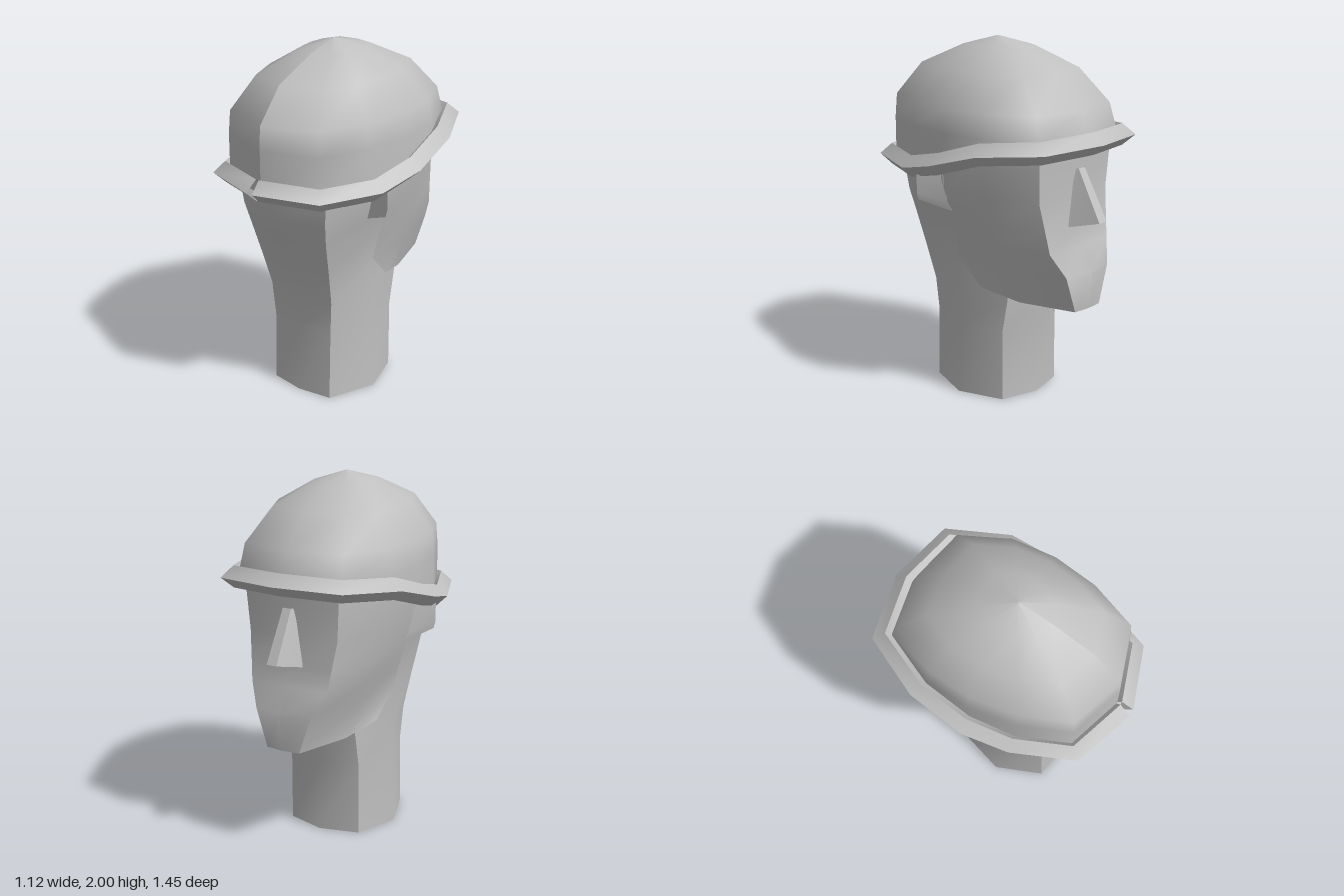
import * as THREE from 'three';
import { toCreasedNormals } from 'three/addons/utils/BufferGeometryUtils.js';

// Skin a grid of points: rows are equal-length lists of [x, y, z], from bottom to top.
function skin(rows, crease) {
  const n = rows[0].length, index = [];
  for (let r = 0; r < rows.length - 1; r++) {
    for (let i = 0; i < n - 1; i++) {
      const a = r * n + i, b = a + n;
      index.push(a, a + 1, b + 1, a, b + 1, b);
    }
  }
  const g = new THREE.BufferGeometry();
  g.setAttribute('position', new THREE.Float32BufferAttribute(rows.flat(2), 3));
  g.setIndex(index);
  if (crease) return toCreasedNormals(g, crease);
  g.computeVertexNormals();
  return g;
}

const flip = ([x, y, z]) => [-x, y, z];
// Half ring (back centre to front centre on +x) completed round the other side.
const around = half => [...half, ...half.slice(0, -1).reverse().map(flip)];
// Half ring (side to front centre) mirrored into an open front strip.
const across = half => [...half, ...half.slice(0, -1).reverse().map(flip)];

export function createModel() {
  const group = new THREE.Group();
  const grey = new THREE.MeshStandardMaterial({ color: 0xbfbfbf, side: THREE.DoubleSide });
  grey.name = 'plain grey';
  const add = (name, geometry) => {
    const m = new THREE.Mesh(geometry, grey);
    m.name = name;
    group.add(m);
  };

  // Neck and back of the head: y, back z, corner x, corner z, side x, front z
  const neck = [
    [0, 0.35, 0.2, 0.32, 0.305, -0.27],
    [0.4, 0.34, 0.2, 0.31, 0.285, -0.27],
    [0.6, 0.35, 0.215, 0.32, 0.295, -0.31],
    [0.8, 0.41, 0.24, 0.37, 0.29, -0.31],
    [1.0, 0.48, 0.265, 0.425, 0.34, -0.31],
    [1.12, 0.54, 0.285, 0.455, 0.38, -0.31],
    [1.26, 0.57, 0.3, 0.47, 0.41, -0.31],
    [1.42, 0.58, 0.3, 0.5, 0.43, -0.31],
  ];
  add('neck', skin(neck.map(([y, zb, xc, zc, xs, zf]) => around([
    [0, y, zb], [xc, y, zc], [xs, y, 0.05], [0.22, y, zf + 0.06], [0, y, zf],
  ])), 0.7));

  // Face: y, side x, cheek x, corner x, corner z, front z
  const face = [
    [0.8, 0.292, 0.265, 0.17, -0.625, -0.66],
    [0.93, 0.322, 0.31, 0.235, -0.565, -0.575],
    [1.05, 0.358, 0.34, 0.25, -0.545, -0.57],
    [1.2, 0.398, 0.372, 0.27, -0.52, -0.557],
    [1.42, 0.43, 0.41, 0.285, -0.53, -0.57],
    [1.5, 0.43, 0.41, 0.285, -0.53, -0.57],
  ];
  const throat = [0, 0.6, -0.29];
  const faceRows = [
    Array(7).fill(throat),
    across([[0.27, 0.65, -0.1], [0.2, 0.6, -0.32], [0.1, 0.595, -0.63], [0, 0.595, -0.64]]),
    ...face.map(([y, xs, xk, xc, zc, zf]) => across([
      [xs, y, 0.05], [xk, y, -0.25], [xc, y, zc], [0, y, zf],
    ])),
  ];
  add('face', skin(faceRows, 0.7));

  // Nose: a wedge with a narrow ridge
  add('nose', skin([
    [[0, 1.05, -0.56], [0, 1.05, -0.56], [0, 1.05, -0.56], [0, 1.05, -0.56]],
    [[0.085, 1.05, -0.56], [0.03, 1.09, -0.725], [-0.03, 1.09, -0.725], [-0.085, 1.05, -0.56]],
    [[0.035, 1.36, -0.555], [0.025, 1.36, -0.575], [-0.025, 1.36, -0.575], [-0.035, 1.36, -0.555]],
  ], 0.3));

  // Ears: plates that flare away from the head towards the back
  for (const s of [1, -1]) {
    const ear = [
      [[0.35, 1.1, 0.18], [0.47, 1.14, 0.18], [0.36, 1.08, 0.02]],
      [[0.37, 1.18, 0.18], [0.48, 1.18, 0.18], [0.385, 1.13, 0.04]],
      [[0.39, 1.31, 0.18], [0.48, 1.31, 0.18], [0.4, 1.29, 0.05]],
    ];
    ear.unshift(Array(3).fill(ear[0][0]));
    const rows = s > 0 ? ear : ear.map(r => r.map(flip).reverse());
    add(s > 0 ? 'leftEar' : 'rightEar', skin(rows, 0.3));
  }

  // Cap dome: plan outline scaled to each height, with a seam down the back
  const plan = [[0, 0.63], [0.31, 0.53], [0.42, 0.26], [0.46, 0], [0.44, -0.27], [0.31, -0.56], [0, -0.625]];
  const brimY = [1.32, 1.315, 1.31, 1.37, 1.46, 1.49, 1.5];
  const dome = [ // y, width scale, back scale, front scale, z shift
    [1.66, 0.97, 0.99, 0.915, 0],
    [1.84, 0.72, 0.725, 0.67, 0.015],
    [1.95, 0.34, 0.31, 0.32, 0.025],
    [2, 0, 0, 0, 0.03],
  ];
  add('capDome', skin([
    around(plan.map(([x, z], i) => [x, brimY[i] - 0.03, z])),
    around(plan.map(([x, z], i) => [x, 1.53, z * (z < 0 ? 0.985 : 1)])),
    ...dome.map(([y, sx, sb, sf, dz]) => around(plan.map(([x, z]) => [x * sx, y, z * (z > 0 ? sb : sf) + dz]))),
  ]));

  // Rolled brim: a diamond section following the cap, notched at the back
  const rim = [[0.02, 0.72], [0.37, 0.6], [0.51, 0.26], [0.56, 0], [0.53, -0.31], [0.37, -0.64], [0, -0.72]];
  const layer = (t, dy) => around(rim.map(([x, z], i) => [
    THREE.MathUtils.lerp(x, plan[i][0] * 0.95, t),
    brimY[i] + dy,
    THREE.MathUtils.lerp(z, plan[i][1] * 0.95, t),
  ]));
  add('capBrim', skin([layer(0.55, -0.06), layer(0, 0), layer(0.55, 0.06), layer(1, 0), layer(0.55, -0.06)], 1.0));

  return group;
}
